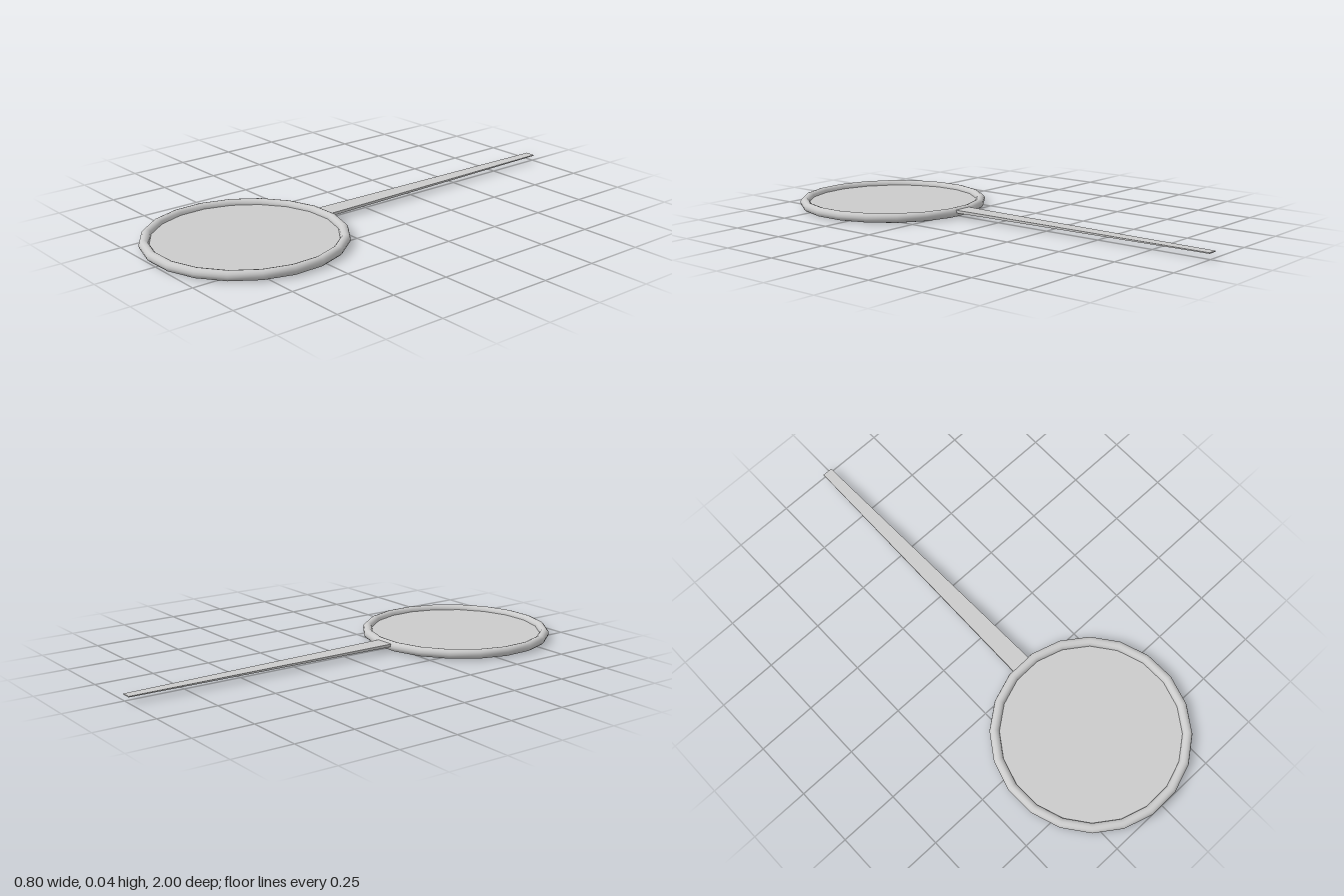
import * as THREE from 'three';

const SIDES = 20;
const CENTRE_Z = 0.6;
const TURN = THREE.MathUtils.degToRad(8);

// Box along z whose section blends from a back size to a front size.
function taperedBar(back, front) {
  const geo = new THREE.BoxGeometry(1, 1, 1);
  const p = geo.attributes.position;
  const mix = THREE.MathUtils.lerp;
  for (let i = 0; i < p.count; i++) {
    const t = p.getZ(i) + 0.5;
    p.setXYZ(
      i,
      mix(back.x, front.x, t) + p.getX(i) * mix(back.w, front.w, t),
      mix(back.y, front.y, t) + p.getY(i) * mix(back.h, front.h, t),
      mix(back.z, front.z, t)
    );
  }
  geo.computeVertexNormals();
  return geo;
}

export function createModel() {
  const model = new THREE.Group();
  model.name = 'handheldDisc';
  const material = new THREE.MeshStandardMaterial({ color: 0xcccccc });
  const thin = new THREE.MeshStandardMaterial({ color: 0xcccccc, side: THREE.DoubleSide });

  const add = (name, geo, mat) => {
    const mesh = new THREE.Mesh(geo, mat);
    mesh.name = name;
    model.add(mesh);
    return mesh;
  };

  // Rounded rim, faceted around its circumference
  const rim = new THREE.TorusGeometry(0.386, 0.02, 12, SIDES);
  rim.rotateZ(-TURN).rotateX(-Math.PI / 2);
  add('rim', rim, material).position.set(0, 0.02, CENTRE_Z);

  // Thin flat panel filling the rim
  const panel = new THREE.CircleGeometry(0.386, SIDES);
  panel.rotateZ(-TURN).rotateX(-Math.PI / 2);
  add('panel', panel, thin).position.set(0, 0.02, CENTRE_Z);

  // Long flat handle, narrowing and thinning towards the back
  add('handle', taperedBar(
    { x: -0.014, y: 0.025, z: -1, w: 0.043, h: 0.004 },
    { x: -0.009, y: 0.026, z: 0.205, w: 0.085, h: 0.012 }
  ), material);

  return model;
}
